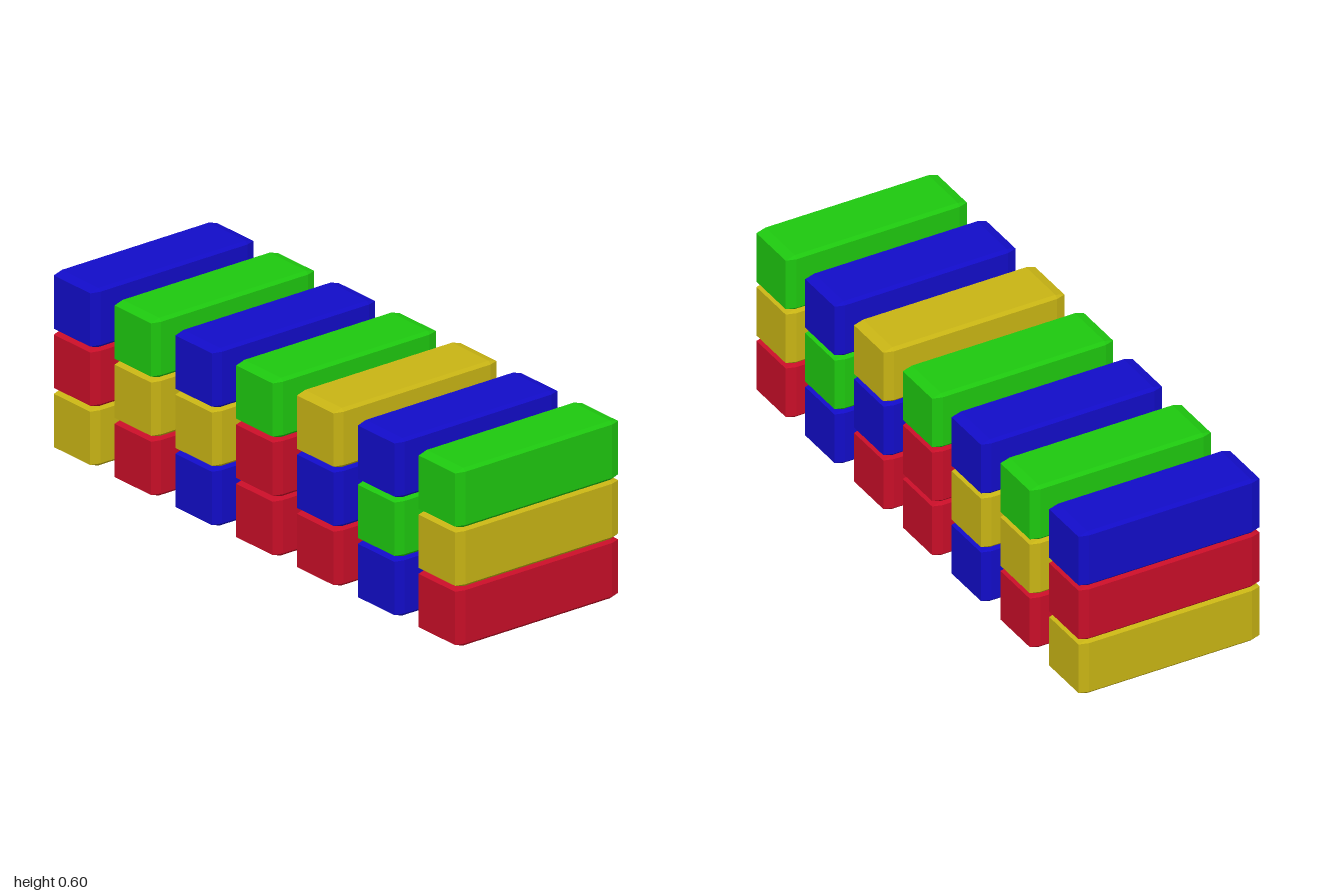
import * as THREE from 'three';
import { ConvexGeometry } from 'three/addons/geometries/ConvexGeometry.js';

// Block with flat chamfers on every edge; the chamfer is 5% of each dimension
function chamferedBlock(w, h, d, bevel = 0.05) {
  const outer = [w / 2, h / 2, d / 2];
  const inner = [w, h, d].map((s) => s * (0.5 - bevel));
  const points = [];
  for (const sx of [-1, 1]) for (const sy of [-1, 1]) for (const sz of [-1, 1]) {
    // Each corner is cut into three points, one on each adjoining face
    for (let face = 0; face < 3; face++) {
      const c = [sx, sy, sz].map((s, i) => s * (i === face ? outer[i] : inner[i]));
      points.push(new THREE.Vector3(...c));
    }
  }
  return new ConvexGeometry(points);
}

export function createModel() {
  const model = new THREE.Group();
  model.name = 'blockStacks';

  const colors = { red: 0xc80e28, yellow: 0xc8b414, green: 0x1ec80f, blue: 0x120cc8 };
  const materials = {};
  for (const name in colors) {
    materials[name] = new THREE.MeshStandardMaterial({ color: colors[name], flatShading: true });
  }

  // Stacks from front to back, each listed from bottom to top
  const stacks = [
    ['red', 'yellow', 'green'],
    ['blue', 'green', 'blue'],
    ['red', 'blue', 'yellow'],
    ['red', 'red', 'green'],
    ['blue', 'yellow', 'blue'],
    ['red', 'yellow', 'green'],
    ['yellow', 'red', 'blue'],
  ];

  const size = 0.2, spacing = 0.3;
  const geometry = chamferedBlock(0.65, size, size);
  stacks.forEach((blocks, i) => {
    const stack = new THREE.Group();
    stack.name = `stack${i + 1}`;
    stack.position.z = 0.9 - i * spacing;
    blocks.forEach((color, level) => {
      const block = new THREE.Mesh(geometry, materials[color]);
      block.name = `${color}Block`;
      block.position.y = size * (level + 0.5);
      stack.add(block);
    });
    model.add(stack);
  });

  return model;
}
